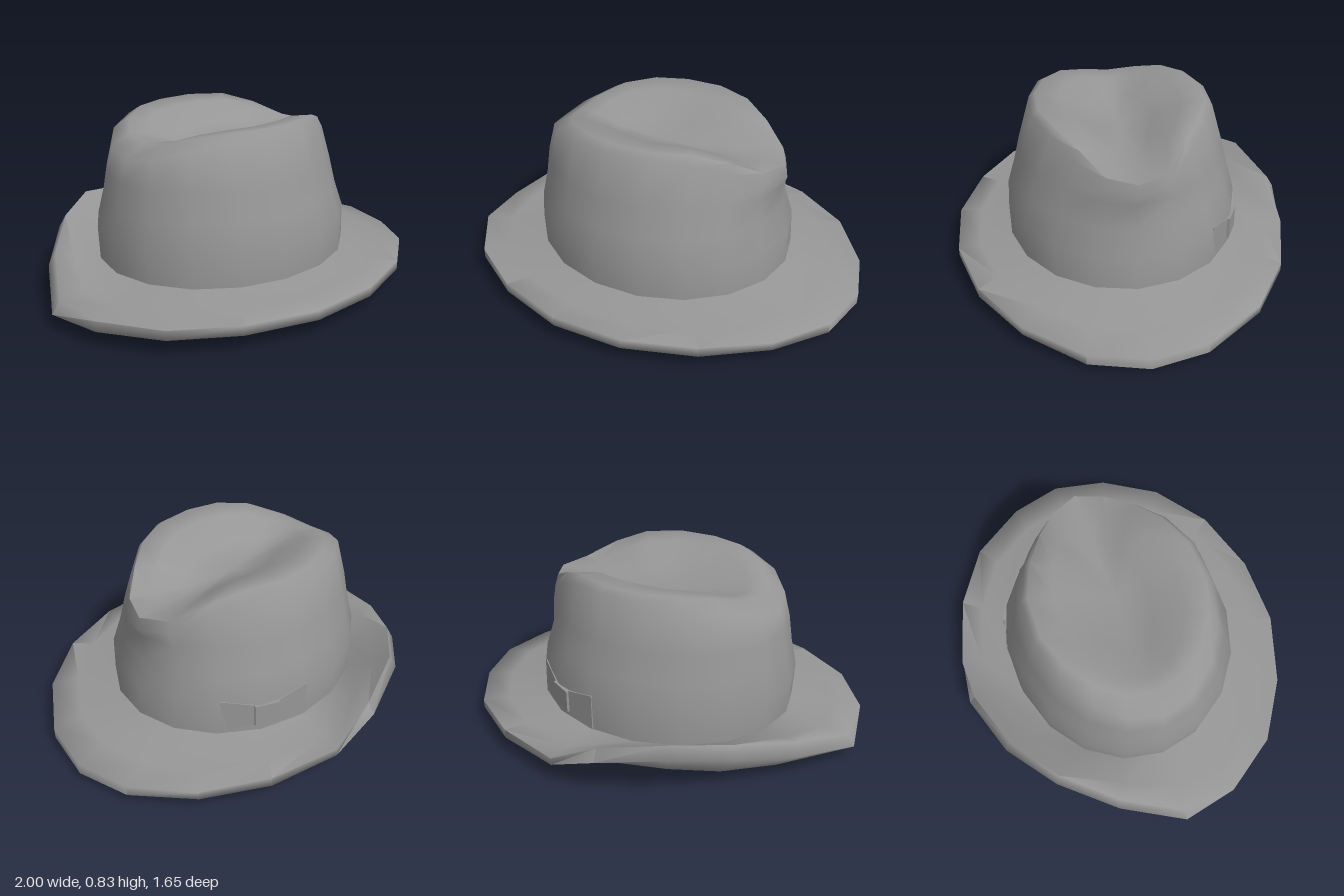
import * as THREE from 'three';
import { toCreasedNormals } from 'three/addons/utils/BufferGeometryUtils.js';

const material = new THREE.MeshStandardMaterial({ color: 0x969696, side: THREE.DoubleSide });
const COLUMNS = 18;
const { lerp, smoothstep } = THREE.MathUtils;
const angle = j => (j / COLUMNS) * Math.PI * 2;

// Skin closed rings of [x, y, z] points, listed from the bottom outwards and up
function loft(rings, crease) {
  const n = COLUMNS, index = [];
  for (let i = 0; i < rings.length - 1; i++) {
    for (let j = 0; j < n; j++) {
      const a = i * n + j, b = i * n + (j + 1) % n;
      index.push(a, a + n, b, b, a + n, b + n);
    }
  }
  const geo = new THREE.BufferGeometry();
  geo.setAttribute('position', new THREE.Float32BufferAttribute(rings.flat(2), 3));
  geo.setIndex(index);
  return toCreasedNormals(geo, crease);
}

function addMesh(parent, name, geo) {
  const mesh = new THREE.Mesh(geo, material);
  mesh.name = name;
  parent.add(mesh);
  return mesh;
}

// Egg-shaped outline: separate front (+x) and back (-x) lengths, half width w
const egg = (t, front, back, w, pinch = 0) => {
  const c = Math.cos(t), s = Math.sin(t);
  const k = c > 0 ? 1 - pinch * Math.sin(2 * t) ** 2 : 1;
  return [(c > 0 ? front : back) * c * k, w * s * k];
};

// Brim columns: outline x, z, edge top y, edge bottom y, underside crease fraction, crease y
const brimColumns = [
  [1, 0, 0.09, 0.035, 0.86, 0.033], [0.94, 0.27, 0.09, 0.04, 0.87, 0.033],
  [0.76, 0.53, 0.115, 0.075, 0.88, 0.065], [0.49, 0.72, 0.13, 0.085, 0.88, 0.075],
  [0.16, 0.82, 0.13, 0.085, 0.88, 0.075], [-0.18, 0.82, 0.13, 0.085, 0.88, 0.075],
  [-0.51, 0.71, 0.13, 0.085, 0.88, 0.075], [-0.78, 0.53, 0.13, 0.085, 0.88, 0.07],
  [-0.95, 0.27, 0.13, 0.08, 0.88, 0.04], [-1, 0, 0.125, 0.07, 0.86, 0.002],
  // turned-up stretch
  [-0.84, -0.3, 0.215, 0.155, 0.84, 0.03], [-0.63, -0.55, 0.285, 0.225, 0.81, 0.055],
  [-0.39, -0.73, 0.315, 0.26, 0.74, 0.055], [-0.08, -0.83, 0.265, 0.21, 0.69, 0.03],
  [0.16, -0.81, 0.14, 0.105, 0.8, 0.065], [0.49, -0.71, 0.13, 0.085, 0.88, 0.075],
  [0.76, -0.53, 0.115, 0.075, 0.88, 0.065], [0.94, -0.26, 0.09, 0.04, 0.87, 0.033],
];

function brimGeometry() {
  const rings = [[], [], [], [], [], []];
  brimColumns.forEach(([x, z, top, bottom, f, y], j) => {
    const [ix, iz] = egg(angle(j), 0.63, 0.657, 0.565);
    const inset = j > 8 && j < 14 ? 0.96 : 1;
    [
      [ix, 0.16, iz],
      [x * f, y, z * f],
      [x, bottom, z],
      [x * inset, top, z * inset],
      [lerp(ix, x * inset, 0.6), lerp(0.165, top, 0.6) - 0.006, lerp(iz, z * inset, 0.6)],
      [ix, 0.165, iz],
    ].forEach((p, i) => rings[i].push(p));
  });
  return loft(rings, 1.5);
}

// Height of the crown's top ridge: low at the front tip, dipped at the back
function ridgeY(t) {
  const s = Math.abs(Math.sin(t));
  return Math.cos(t) > 0
    ? 0.69 + 0.14 * smoothstep(s, 0.2, 0.98)
    : 0.75 + 0.08 * smoothstep(s, 0, 0.95);
}

function crownGeometry() {
  const rings = [];
  const ring = (front, back, w, pinch, height) => rings.push(
    Array.from({ length: COLUMNS }, (_, j) => {
      const t = angle(j);
      const [x, z] = egg(t, front, back, w, pinch);
      return [x, height(t), z];
    }));
  const dent = depth => t => 0.68 + (ridgeY(t) - 0.68) * depth;
  // side wall
  ring(0.63, 0.657, 0.565, 0, () => 0.16);
  ring(0.622, 0.665, 0.568, 0, () => 0.33);
  ring(0.583, 0.637, 0.53, 0.01, () => 0.46);
  ring(0.59, 0.62, 0.498, 0.05, () => 0.59);
  // shoulder and ridge
  ring(0.604, 0.592, 0.436, 0.09, t => ridgeY(t) - 0.025 - 0.035 * Math.cos(t) ** 2);
  ring(0.592, 0.49, 0.405, 0.1, ridgeY);
  // dented top
  ring(0.48, 0.41, 0.29, 0.1, dent(0.9));
  ring(0.32, 0.28, 0.15, 0.05, dent(0.35));
  ring(0, 0, 0, 0, () => 0.68);
  return loft(rings, 1.2);
}

// Flared ribbon loop, narrow at x = 0
function wingGeometry() {
  const shape = new THREE.Shape([
    new THREE.Vector2(0, -0.055), new THREE.Vector2(0.16, -0.09),
    new THREE.Vector2(0.16, 0.09), new THREE.Vector2(0, 0.055),
  ]);
  return new THREE.ExtrudeGeometry(shape, { depth: 0.03, bevelEnabled: false }).translate(0, 0, -0.015);
}

export function createModel() {
  const hat = new THREE.Group();
  hat.name = 'hat';
  addMesh(hat, 'brim', brimGeometry());
  addMesh(hat, 'crown', crownGeometry());

  // ribbon bow on the side of the crown
  const bow = new THREE.Group();
  bow.name = 'bow';
  bow.position.set(0.288, 0.257, -0.487);
  bow.rotation.y = -0.47;
  addMesh(bow, 'bowKnot', new THREE.BoxGeometry(0.12, 0.11, 0.05));
  for (const side of [-1, 1]) {
    const wing = addMesh(bow, side < 0 ? 'bowWingBack' : 'bowWingFront', wingGeometry());
    wing.position.x = side * 0.05;
    wing.rotation.y = side < 0 ? Math.PI + 0.22 : -0.22;
  }
  hat.add(bow);
  return hat;
}
